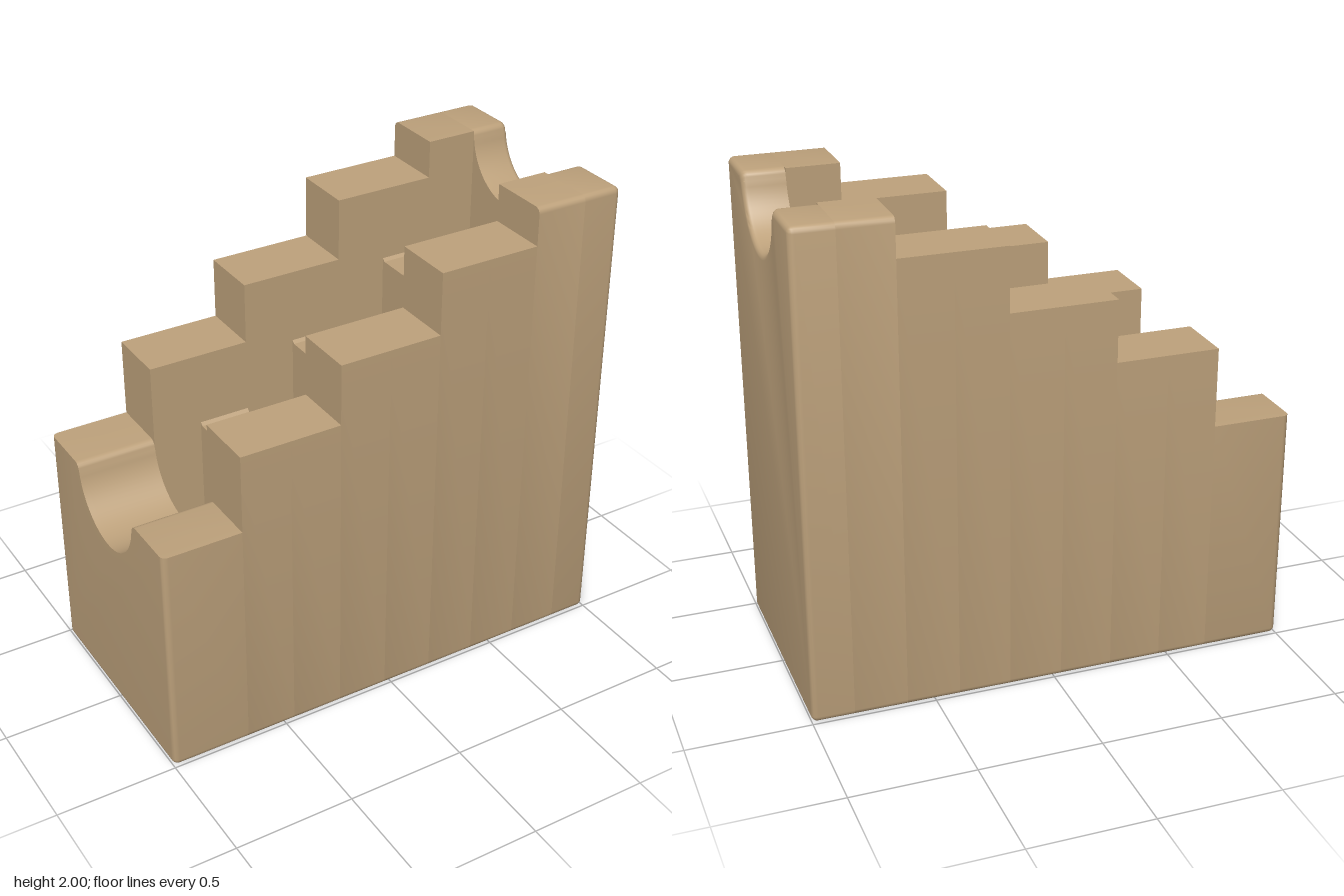
import * as THREE from 'three';
import { mergeGeometries, toCreasedNormals } from 'three/addons/utils/BufferGeometryUtils.js';

const HALF_WIDTH = 0.495, ROUND = 0.025, CHANNEL = 0.237;

function arc(cx, cy, r, a0, a1, n) {
  return Array.from({ length: n + 1 }, (_, i) => {
    const a = a0 + (a1 - a0) * i / n;
    return new THREE.Vector2(cx + r * Math.cos(a), cy + r * Math.sin(a));
  });
}

// Outline across the block: half is drawn from bottom to middle, then mirrored.
// d insets the outside, t insets the top and the groove.
function section({ top, floor, groove, roundTop }, d = 0, t = 0) {
  const w = HALF_WIDTH - d, h = top - t, r = Math.max(ROUND - d, 0.002);
  const half = arc(w - r, d + r, r, -Math.PI / 2, 0, 4);
  if (roundTop) half.push(...arc(w - r, h - r, r, 0, Math.PI / 2, 4));
  else half.push(new THREE.Vector2(w, h));
  if (groove) {
    // softened lip, then a round trough
    const R = CHANNEL + t, lip = 0.03;
    half.push(...arc(R + lip, h - lip, lip, Math.PI / 2, Math.PI, 5));
    half.push(...arc(0, top, R, -0.16, -Math.PI / 2 + 0.05, 16));
  } else {
    half.push(new THREE.Vector2(CHANNEL, h));
    half.push(new THREE.Vector2(CHANNEL, floor + 0.012));
    half.push(new THREE.Vector2(CHANNEL - 0.012, floor));
  }
  return [...half, ...half.map(p => new THREE.Vector2(-p.x, p.y)).reverse()];
}

// Closed solid through rings of equal point count, ordered by rising x
function loft(rings) {
  const pos = [];
  const put = (ring, i) => pos.push(ring.x, ring.pts[i].y, -ring.pts[i].x);
  for (let k = 0; k < rings.length - 1; k++) {
    const a = rings[k], b = rings[k + 1], n = a.pts.length;
    for (let i = 0; i < n; i++) {
      const j = (i + 1) % n;
      put(a, i); put(a, j); put(b, j);
      put(a, i); put(b, j); put(b, i);
    }
  }
  const first = rings[0], last = rings[rings.length - 1];
  for (const [i, j, k] of THREE.ShapeUtils.triangulateShape(last.pts, [])) {
    put(last, i); put(last, j); put(last, k);
  }
  for (const [i, j, k] of THREE.ShapeUtils.triangulateShape(first.pts, [])) {
    put(first, i); put(first, k); put(first, j);
  }
  const g = new THREE.BufferGeometry();
  g.setAttribute('position', new THREE.Float32BufferAttribute(pos, 3));
  return toCreasedNormals(g, 0.6);
}

function slice(x0, x1, spec) {
  return loft([{ x: x0, pts: section(spec) }, { x: x1, pts: section(spec) }]);
}

// Slice with its outer end (side -1 or 1) rounded over
function endSlice(inner, side, spec, softTop) {
  const rings = [{ x: inner, pts: section(spec) }];
  for (let i = 0; i <= 4; i++) {
    const a = i / 4 * Math.PI / 2, d = ROUND * (1 - Math.cos(a));
    rings.push({ x: side * (1 - ROUND + ROUND * Math.sin(a)), pts: section(spec, d, softTop ? d : 0) });
  }
  if (side < 0) rings.reverse();
  return loft(rings);
}

export function createModel() {
  const group = new THREE.Group();
  group.name = 'steppedHolder';
  const tan = new THREE.MeshStandardMaterial({ color: 0xbea27c });
  tan.name = 'tan';
  const add = (name, geometry) => {
    const mesh = new THREE.Mesh(geometry, tan);
    mesh.name = name;
    group.add(mesh);
  };

  // Low and high ends with round troughs
  add('lowEnd', endSlice(-0.67, -1, { top: 1, groove: true }, false));
  add('highEnd', endSlice(0.83, 1, { top: 2, groove: true, roundTop: true }, true));

  // Each step has a deep slot, then a raised ledge in the channel
  const steps = [
    [-0.67, -0.46, -0.245, 1.33],
    [-0.245, -0.03, 0.188, 1.585],
    [0.188, 0.4, 0.615, 1.845],
  ];
  steps.forEach(([x0, xm, x1, top], i) => {
    add(`step${i + 1}`, mergeGeometries([
      slice(x0, xm, { top, floor: top - 0.9 }),
      slice(xm, x1, { top, floor: top - 0.32 }),
    ]));
  });
  add('topStep', slice(0.615, 0.83, { top: 2, floor: 1.2, roundTop: true }));
  return group;
}
